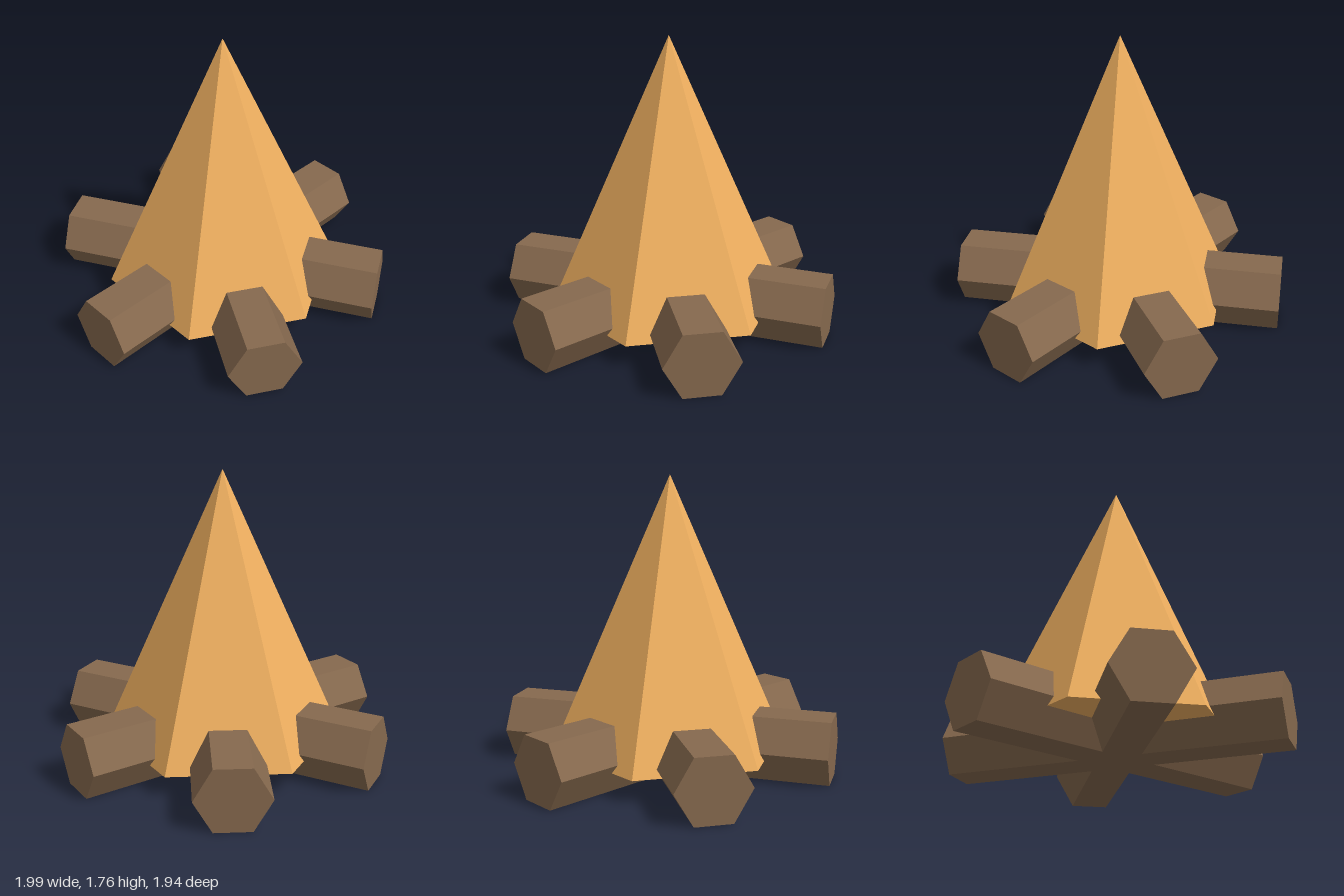
import * as THREE from 'three';

export function createModel() {
  const group = new THREE.Group();
  group.name = 'campfire';

  const wood = new THREE.MeshStandardMaterial({ color: 0x86694e, flatShading: true });
  const fire = new THREE.MeshStandardMaterial({ color: 0xf0b060, flatShading: true });

  // Three hexagonal logs crossing at the centre, each lying on a flat side
  const logGeometry = new THREE.CylinderGeometry(0.218, 0.218, 1.985, 6);
  logGeometry.rotateZ(Math.PI / 2);
  for (let i = 0; i < 3; i++) {
    const log = new THREE.Mesh(logGeometry, wood);
    log.name = `log${i + 1}`;
    log.position.y = 0.198;
    log.rotation.y = (i * Math.PI) / 3;
    group.add(log);
  }

  // Six-sided flame with corners facing front and back
  const base = 0.15, top = 1.77;
  const flame = new THREE.Mesh(new THREE.ConeGeometry(0.72, top - base, 6), fire);
  flame.name = 'flame';
  flame.position.y = (base + top) / 2;
  group.add(flame);

  return group;
}
